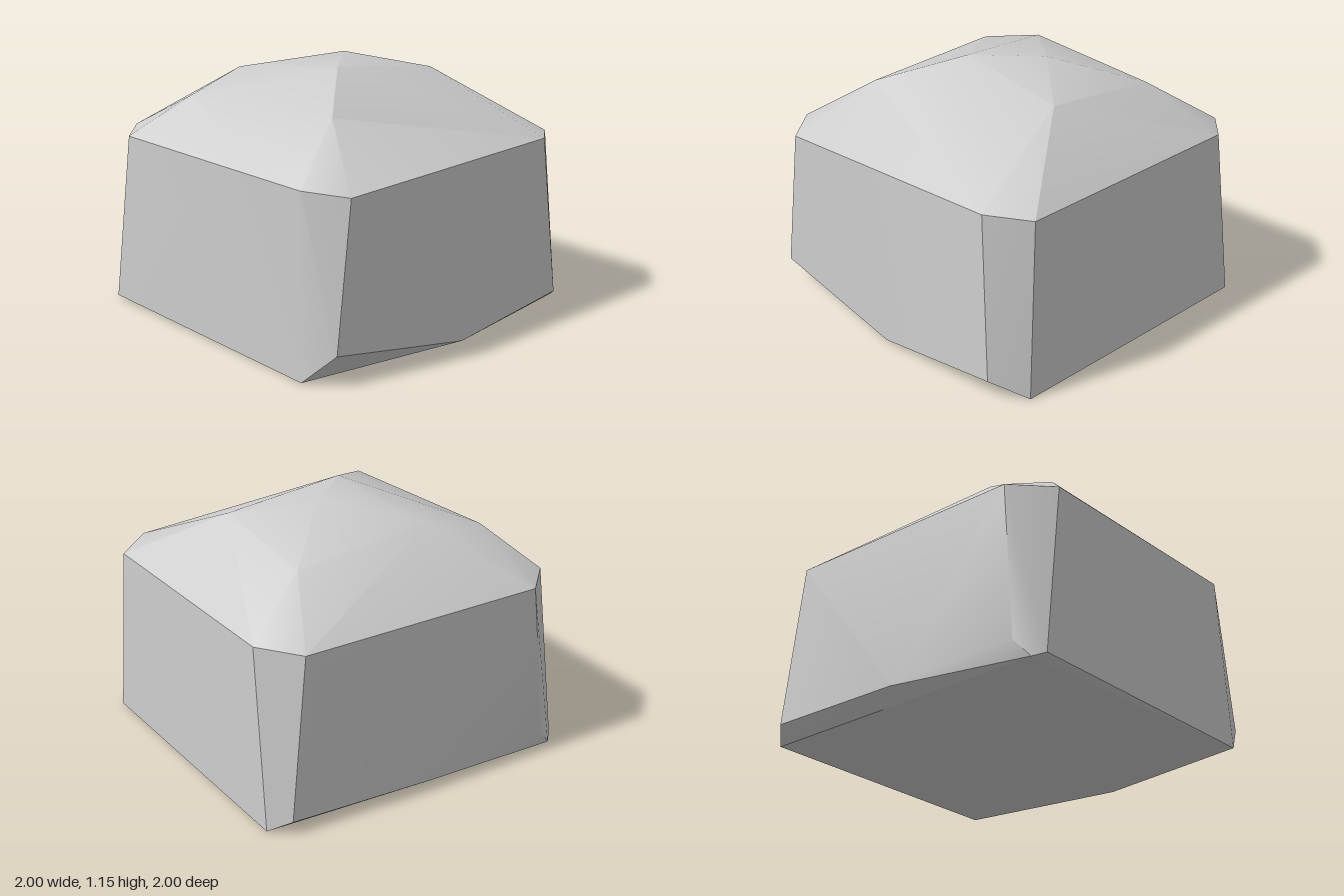
import * as THREE from 'three';
import { ConvexGeometry } from 'three/addons/geometries/ConvexGeometry.js';
import { toCreasedNormals } from 'three/addons/utils/BufferGeometryUtils.js';

export function createModel() {
  const stone = new THREE.MeshStandardMaterial({ color: 0xcccccc });
  stone.name = 'light grey stone';

  // Base: bevelled corners and worn lower edges
  const base = [
    [-0.24, 0.14, 1], [-0.37, 0, 0.91], [0.4, 0.015, 0.67],
    [0.945, 0.08, 0.35], [1, 0, 0.18],
    [0.32, 0, -0.97], [0.21, 0.06, -1], [-0.4, 0.05, -0.68],
    [-0.94, 0.08, -0.35], [-0.985, 0, -0.29], [-1, 0.02, -0.23],
  ];
  // Shoulder: two points at each chamfered corner
  const shoulder = [
    [-0.17, 0.79, 0.95], [-0.36, 0.81, 0.87],
    [0.87, 0.815, 0.35], [0.95, 0.797, 0.15],
    [0.36, 0.812, -0.87], [0.15, 0.8, -0.94],
    [-0.87, 0.81, -0.36], [-0.93, 0.81, -0.14],
  ];
  // Crown: softly domed top
  const crown = [
    [-0.16, 1.025, 0.58], [-0.04, 1.15, 0.18], [0.07, 1.15, -0.15],
    [0.46, 1.075, -0.07], [0.17, 1.02, -0.59],
    [-0.4, 1.08, -0.25], [-0.66, 1, -0.06],
  ];

  const points = [...base, ...shoulder, ...crown].map((p) => new THREE.Vector3(...p));
  const rock = new THREE.Mesh(toCreasedNormals(new ConvexGeometry(points), 0.42), stone);
  rock.name = 'rock';

  const model = new THREE.Group();
  model.name = 'boulder';
  model.add(rock);
  return model;
}
